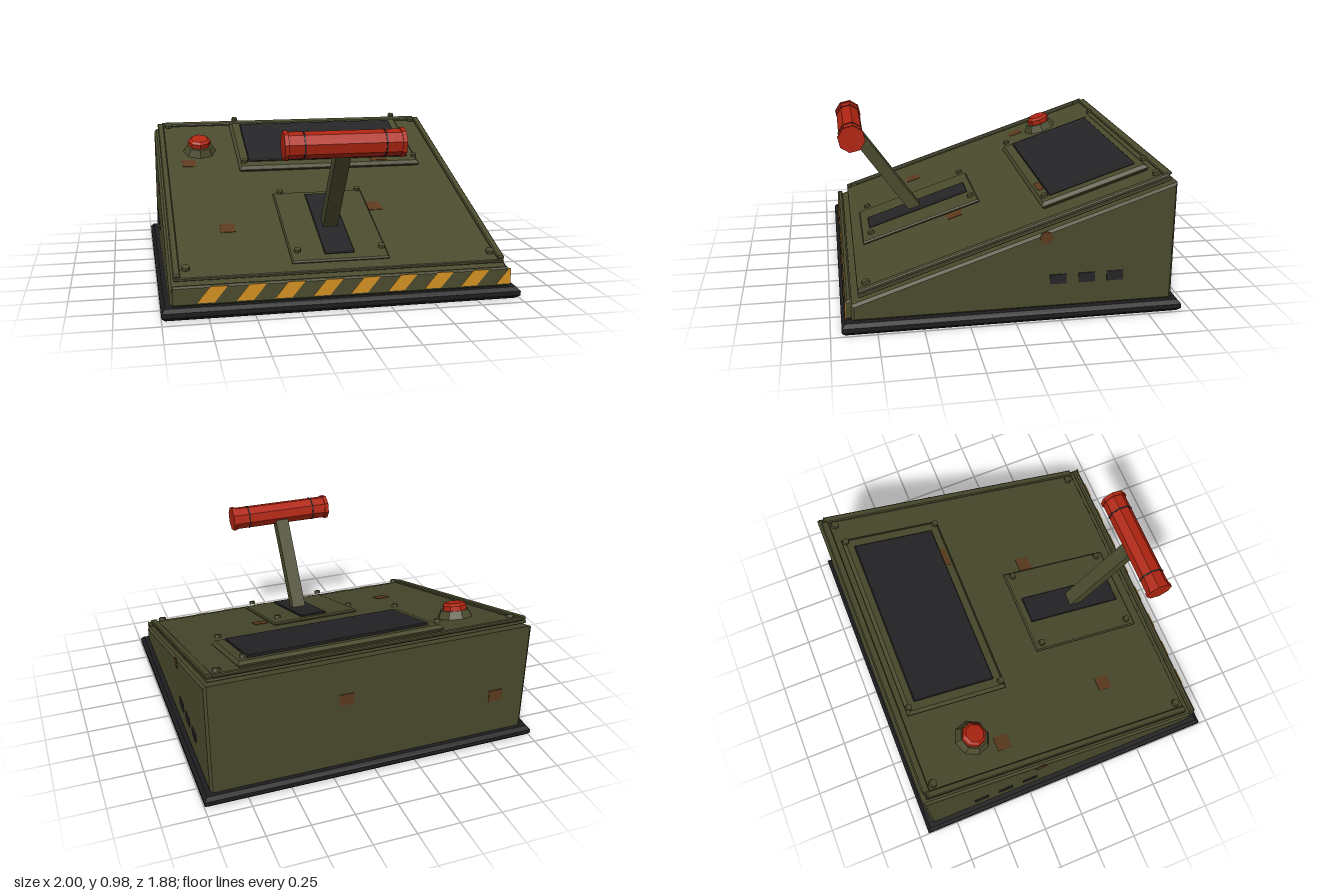
import * as THREE from 'three';

const SLOPE = 0.332, ANGLE = Math.atan(SLOPE);
const SIN = Math.sin(ANGLE), COS = Math.cos(ANGLE);

function material(name, color) {
  const m = new THREE.MeshStandardMaterial({ color });
  m.name = name;
  return m;
}

// Faceted normals for low-poly round parts
function faceted(geometry) {
  const g = geometry.toNonIndexed();
  g.computeVertexNormals();
  return g;
}

const cyl = (rTop, rBottom, h, sides = 8) => faceted(new THREE.CylinderGeometry(rTop, rBottom, h, sides));

function bevelled(points, depth, c) {
  const shape = new THREE.Shape(points.map(([x, y]) => new THREE.Vector2(x, y)));
  return new THREE.ExtrudeGeometry(shape, {
    depth: depth - 2 * c, bevelEnabled: true, bevelSegments: 1,
    bevelThickness: c, bevelSize: c, bevelOffset: -c,
  });
}

// Box with chamfered edges, centred on the origin
function chamferBox(w, h, d, c) {
  const x = w / 2, z = d / 2;
  return bevelled([[-x, -z], [x, -z], [x, z], [-x, z]], h, c).rotateX(-Math.PI / 2).center();
}

export function createModel() {
  const olive = material('olive paint', 0x4a4a2e);
  const black = material('base black', 0x1d1d1f);
  const dark = material('dark panel', 0x252527);
  const red = material('red', 0xb02511);
  const yellow = material('hazard yellow', 0xd49022);
  const rust = material('rust', 0x5c3a1e);

  const model = new THREE.Group();
  const add = (parent, name, geometry, mat, x = 0, y = 0, z = 0) => {
    const mesh = new THREE.Mesh(geometry, mat);
    mesh.name = name;
    mesh.position.set(x, y, z);
    parent.add(mesh);
    return mesh;
  };

  // Base and wedge-shaped housing
  add(model, 'base', chamferBox(2, 0.065, 1.88, 0.02), black, 0, 0.0325, 0);
  const housing = bevelled([[-0.895, 0.06], [0.885, 0.06], [0.885, 0.156], [-0.895, 0.747]], 1.91, 0.015);
  housing.rotateY(-Math.PI / 2).translate(0.94, 0, 0);
  add(model, 'housing', housing, olive);

  // Sloped control panel: h is the height above the slope, z the level position
  const panel = new THREE.Group();
  panel.name = 'controlPanel';
  panel.position.y = 0.156 + 0.884 * SLOPE;
  panel.rotation.x = ANGLE;
  model.add(panel);
  const put = (name, geometry, mat, x, h, z) =>
    add(panel, name, geometry, mat, x, h, (z - h * SIN) / COS);
  const screws = (name, xs, zs, h, r) => {
    for (const x of xs) for (const z of zs) put(name, cyl(r * 0.85, r, 0.017), olive, x, h, z);
  };

  put('topPlate', chamferBox(1.86, 0.022, 1.8, 0.004), olive, 0, 0.025, -0.01);
  for (const x of [-0.912, 0.912]) put('sideRail', chamferBox(0.04, 0.022, 1.79, 0.006), olive, x, 0.045, -0.005);
  put('backRail', chamferBox(1.8, 0.018, 0.045, 0.006), olive, 0, 0.044, -0.855);
  screws('panelScrew', [-0.86, 0.86], [-0.8, 0.8], 0.062, 0.026);

  // Display
  put('screenFrame', chamferBox(1.19, 0.042, 0.64, 0.018), olive, 0.15, 0.056, -0.495);
  put('screen', chamferBox(1.055, 0.016, 0.515, 0.004), dark, 0.148, 0.084, -0.492);
  screws('screenScrew', [-0.41, 0.71], [-0.775, -0.21], 0.106, 0.022);

  // Lever mount
  put('leverPlate', chamferBox(0.555, 0.02, 0.74, 0.008), olive, 0, 0.045, 0.435);
  put('leverSlot', chamferBox(0.17, 0.012, 0.64, 0.003), dark, 0, 0.06, 0.435);
  screws('leverScrew', [-0.24, 0.24], [0.135, 0.735], 0.086, 0.022);

  // Push button
  put('buttonBase', cyl(0.085, 0.108, 0.045), olive, -0.675, 0.058, -0.49);
  put('button', cyl(0.073, 0.073, 0.03), red, -0.675, 0.095, -0.485);
  put('buttonTop', cyl(0.056, 0.073, 0.014), red, -0.675, 0.117, -0.48);

  // Lever with cross handle
  const lever = new THREE.Group();
  lever.name = 'lever';
  lever.position.set(0, 0.355, 0.445);
  lever.rotation.x = 0.615;
  model.add(lever);
  add(lever, 'leverArm', chamferBox(0.085, 0.66, 0.072, 0.014), olive, 0, 0.29, 0);
  const across = (g) => g.rotateZ(Math.PI / 2);
  add(lever, 'handle', across(cyl(0.073, 0.073, 0.64)), red, 0, 0.665, 0);
  for (const s of [-1, 1]) {
    add(lever, 'handleEnd', across(cyl(0.08, 0.08, 0.024)), red, s * 0.32, 0.665, 0);
    add(lever, 'handleRing', across(cyl(0.076, 0.076, 0.008)), dark, s * 0.222, 0.665, 0);
  }

  // Front hazard strip
  add(model, 'hazardStrip', chamferBox(1.88, 0.11, 0.035, 0.01), olive, 0, 0.125, 0.897);
  for (let i = 0; i < 9; i++) {
    const x = -0.81 + i * 0.209, edge = 0.945;
    const corners = [[x, 0.087], [x + 0.093, 0.087]];
    if (x + 0.165 > edge) corners.push([edge, 0.087 + (edge - x - 0.093) * 1.25], [edge, 0.175]);
    else corners.push([x + 0.165, 0.175]);
    corners.push([x + 0.072, 0.175]);
    const shape = new THREE.Shape(corners.map(([a, b]) => new THREE.Vector2(Math.min(a, edge), b)));
    add(model, 'hazardStripe', new THREE.ExtrudeGeometry(shape, { depth: 0.005, bevelEnabled: false }), yellow, 0, 0, 0.913);
  }

  // Side vents and rust patches
  for (const s of [-1, 1]) {
    for (const z of [-0.24, -0.4, -0.56]) {
      add(model, 'vent', new THREE.BoxGeometry(0.009, 0.055, 0.092), dark, s * 0.956, 0.23, z);
    }
    add(model, 'sideRust', across(cyl(0.036, 0.036, 0.006)), rust, s * 0.956, 0.475, -0.17);
  }
  for (const [x, z] of [[-0.755, -0.34], [-0.59, 0.405], [0.325, 0.245]]) {
    put('panelRust', new THREE.BoxGeometry(0.085, 0.004, 0.09), rust, x, 0.037, z);
  }
  put('frameRust', new THREE.BoxGeometry(0.12, 0.004, 0.035), rust, 0.48, 0.078, -0.23);
  for (const [x, y] of [[0.17, 0.5], [-0.76, 0.32]]) {
    add(model, 'backRust', new THREE.BoxGeometry(0.085, 0.07, 0.006), rust, x, y, -0.896);
  }
  return model;
}
